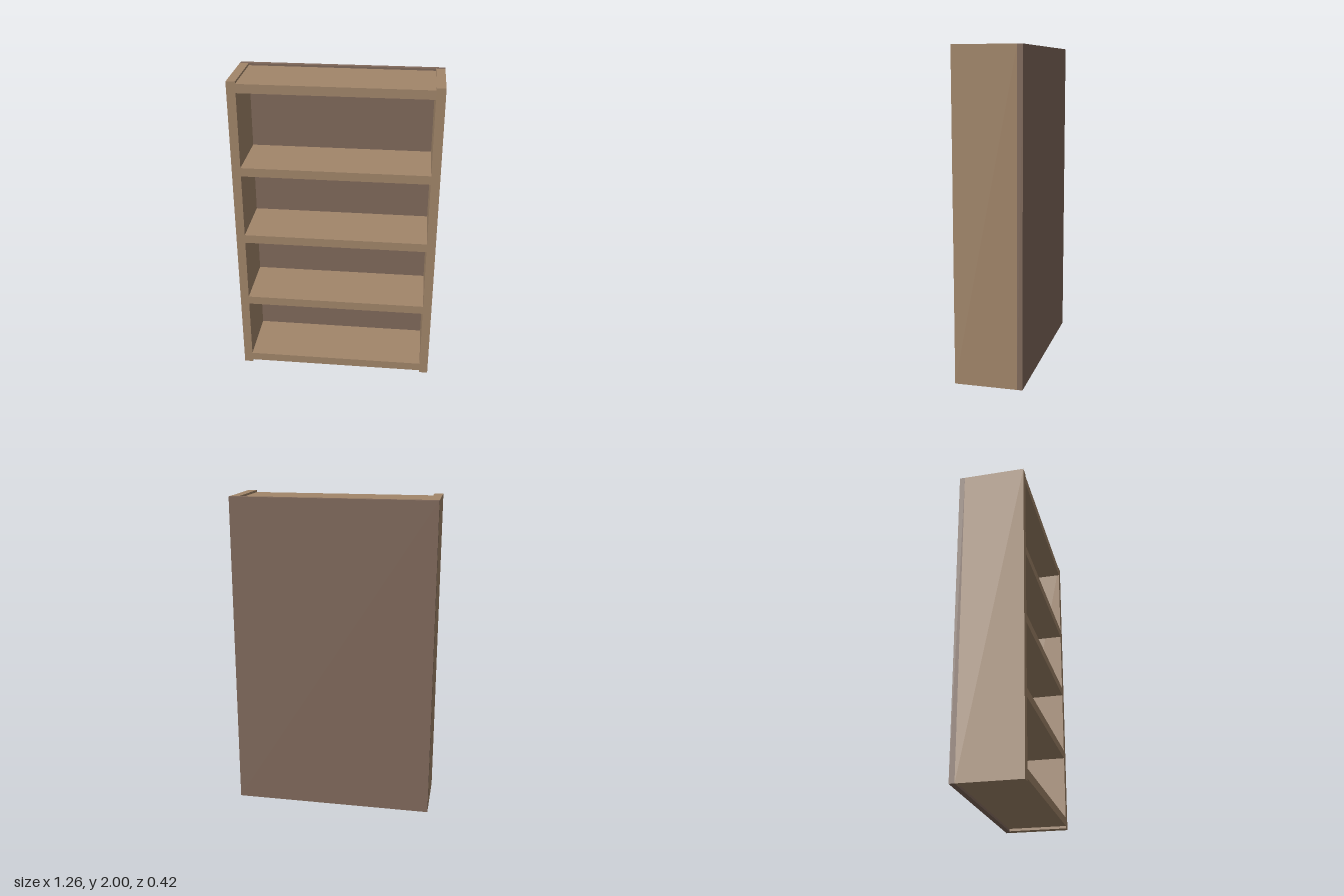
import * as THREE from 'three';

export function createModel() {
  const model = new THREE.Group();
  model.name = 'bookcase';

  const wood = new THREE.MeshStandardMaterial({ color: 0xa2866a });
  wood.name = 'light wood';
  const backWood = new THREE.MeshStandardMaterial({ color: 0x80695b });
  backWood.name = 'dark backing wood';

  const halfWidth = 0.63, innerHalf = 0.575, height = 2;
  const front = 0.208, backFace = -0.208, backInner = -0.175;

  // Box given by its lower and upper corners
  function board(name, material, [x0, y0, z0], [x1, y1, z1]) {
    const mesh = new THREE.Mesh(new THREE.BoxGeometry(x1 - x0, y1 - y0, z1 - z0), material);
    mesh.position.set((x0 + x1) / 2, (y0 + y1) / 2, (z0 + z1) / 2);
    mesh.name = name;
    model.add(mesh);
  }

  // Back panel across the full width
  board('backPanel', backWood, [-halfWidth, 0, backFace], [halfWidth, height, backInner]);

  // Upright sides
  board('leftSide', wood, [innerHalf, 0, backInner], [halfWidth, height, front]);
  board('rightSide', wood, [-halfWidth, 0, backInner], [-innerHalf, height, front]);

  // Horizontal boards, slightly inset from the ends of the uprights
  const thickness = 0.055;
  const levels = [
    ['bottomBoard', 0.016], ['lowerShelf', 0.479], ['middleShelf', 0.943],
    ['upperShelf', 1.406], ['topBoard', 1.932],
  ];
  for (const [name, y] of levels) {
    board(name, wood, [-innerHalf, y, backInner], [innerHalf, y + thickness, front]);
  }

  return model;
}
